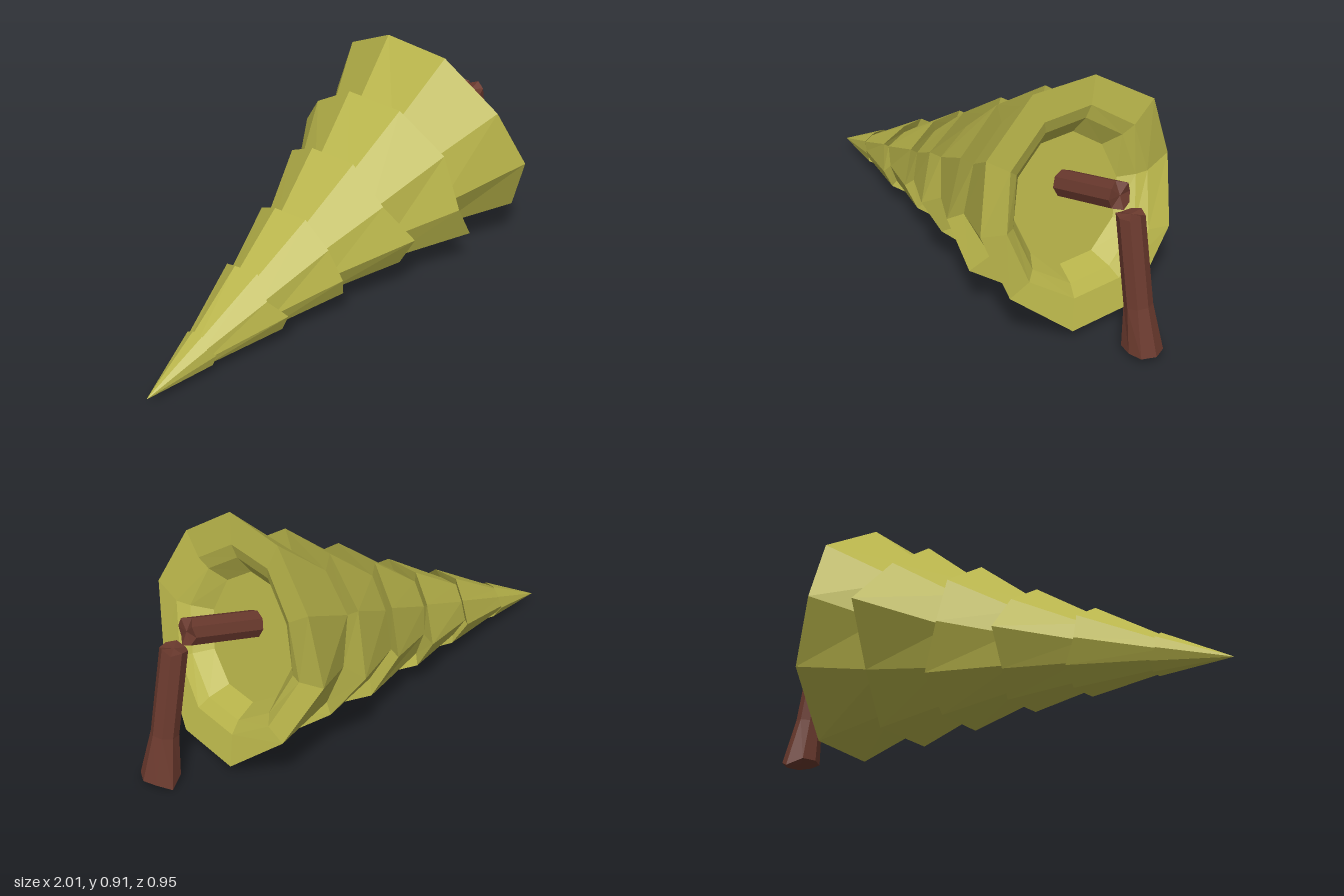
import * as THREE from 'three';

const leaf = new THREE.MeshStandardMaterial({ color: 0xb8b44a, flatShading: true, side: THREE.DoubleSide });
const bark = new THREE.MeshStandardMaterial({ color: 0x6b3a2e, flatShading: true, side: THREE.DoubleSide });

// Skin of n-sided rings strung along local x. Ring: { s, r, vary(j) -> [shift, scale, turn] }
function ringSkin(rings, n, capStart) {
  const pts = [], index = [];
  for (const { s, r, vary } of rings) {
    for (let j = 0; j < n; j++) {
      const [shift = 0, scale = 1, turn = 0] = vary ? vary(j) : [];
      const a = (j / n) * Math.PI * 2 + turn;
      pts.push(s + shift, r * scale * Math.sin(a), r * scale * Math.cos(a));
    }
  }
  for (let i = 0; i < rings.length - 1; i++) {
    for (let j = 0; j < n; j++) {
      const a = i * n + j, b = i * n + (j + 1) % n, c = b + n, d = a + n;
      index.push(a, d, c, a, c, b);
    }
  }
  // End caps as fans around a centre point
  const cap = (start, s, flip) => {
    const m = pts.length / 3;
    pts.push(s, 0, 0);
    for (let j = 0; j < n; j++) {
      const a = start + j, b = start + (j + 1) % n;
      index.push(m, flip ? a : b, flip ? b : a);
    }
  };
  const last = rings.length - 1;
  if (capStart) cap(0, rings[0].s, true);
  cap(last * n, rings[last].s, false);
  const g = new THREE.BufferGeometry();
  g.setAttribute('position', new THREE.Float32BufferAttribute(pts, 3));
  g.setIndex(index);
  const flat = g.toNonIndexed();
  flat.computeVertexNormals();
  return flat;
}

function part(name, geometry, material, x, y, angle) {
  const mesh = new THREE.Mesh(geometry, material);
  mesh.name = name;
  mesh.position.set(x, y, 0);
  mesh.rotation.z = angle;
  return mesh;
}

// Foliage tiers, tip first: distance along the trunk, rim radius,
// and the uneven rim corners as { corner: [shift, scale, turn] }
const tiers = [
  { s: 0.29, r: 0.078, rim: { 1: [-0.02], 5: [-0.02], 9: [-0.02] } },
  { s: 0.59, r: 0.163, rim: { 0: [-0.01, 1.1], 1: [-0.05], 3: [-0.02], 5: [-0.03], 8: [-0.02], 9: [-0.03, 1, 0.1] } },
  { s: 0.855, r: 0.231, rim: { 0: [-0.03, 1.03], 1: [-0.02], 3: [-0.02], 5: [0, 1.15], 6: [-0.03], 8: [-0.035], 9: [-0.02, 1, 0.15] } },
  { s: 1.12, r: 0.317, rim: { 0: [0, 1.12, 0.06], 1: [-0.035], 3: [-0.02], 5: [-0.04, 0.98], 8: [-0.02], 9: [-0.03, 0.95, 0.18] } },
  { s: 1.385, r: 0.394, rim: { 0: [-0.045, 1, 0.03], 3: [-0.02], 4: [-0.03], 5: [0, 1.17, -0.07], 6: [-0.02, 0.93, -0.05], 8: [-0.035], 9: [0.01, 1.06, 0.16] } },
  { s: 1.66, r: 0.475, rim: { 0: [0, 1, 0.07], 1: [-0.02], 2: [-0.015], 3: [-0.015, 0.98], 4: [0, 1.01], 5: [-0.065, 1, -0.07], 6: [-0.01, 0.94, -0.1], 9: [-0.015, 0.95, 0.08] } },
];

export function createModel() {
  const group = new THREE.Group();
  group.name = 'fallenTree';

  // Foliage: each tier flares to its rim, then steps in under it
  const rings = [{ s: 0, r: 0.001 }];
  const follow = (rim, amount) => (j) => [(rim[j]?.[0] ?? 0) * amount];
  tiers.forEach(({ s, r, rim }, t) => {
    rings.push({ s, r, vary: (j) => rim[j] ?? [] });
    if (t < 5) rings.push({ s: s - 0.03, r: r * 0.78, vary: follow(rim, 0.7) });
  });
  // Hollow underside of the lowest tier
  const { rim } = tiers[5];
  rings.push({ s: 1.65, r: 0.355, vary: follow(rim, 0.7) }, { s: 1.62, r: 0.305, vary: follow(rim, 0.4) }, { s: 1.55, r: 0.247 });
  group.add(part('foliage', ringSkin(rings, 10, false), leaf, -1, 0.035, 0.265));

  // Trunk stub still in the crown, with a splintered end
  const stub = ringSkin([
    { s: 0, r: 0.053 },
    { s: 0.32, r: 0.053, vary: (j) => [0.012 * Math.sin(j * 2.5)] },
  ], 8, true);
  group.add(part('trunkStub', stub, bark, 0.472, 0.494, 0.29));

  // Snapped-off trunk, flaring at the roots
  const root = { 0: [0, 0.87], 4: [0.027, 1.13] };
  const trunk = ringSkin([
    { s: 0, r: 0.052, vary: (j) => [0.008 * Math.sin(j * 2.5)] },
    { s: 0.35, r: 0.053 },
    { s: 0.525, r: 0.075, vary: (j) => root[j] ?? [0.014 * Math.sin(j * 0.785)] },
  ], 8, true);
  group.add(part('brokenTrunk', trunk, bark, 0.837, 0.538, -1.387));

  return group;
}
